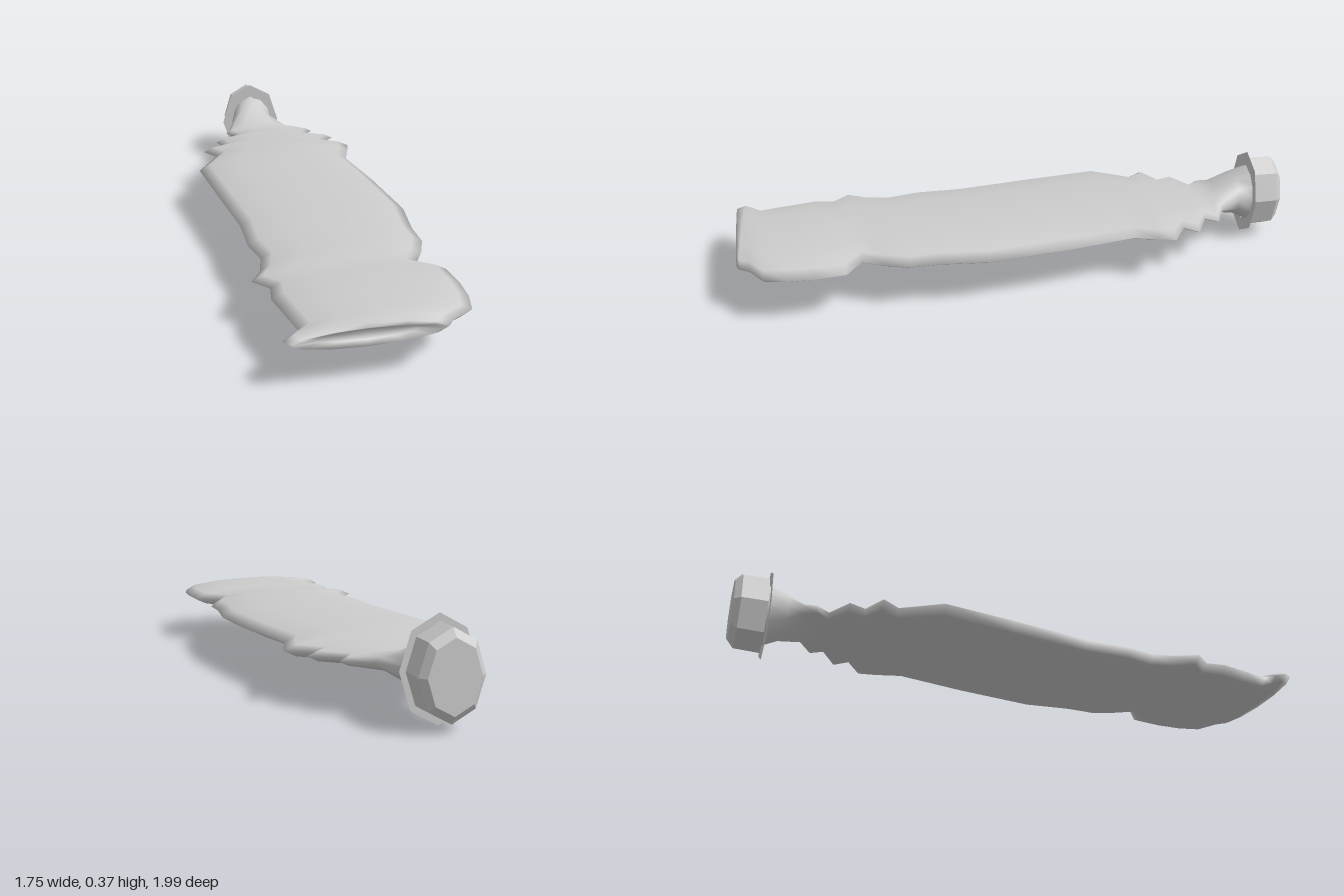
import * as THREE from 'three';

const MID = 0.19; // height of the bottle's flat middle plane

// Cross-sections from neck to base: left edge x, z, right edge x, z, half thickness
const sections = [
  [-0.79, -0.79, -0.64, -0.91, 0.125],
  [-0.75, -0.72, -0.61, -0.85, 0.09],
  [-0.735, -0.66, -0.49, -0.81, 0.04],
  [-0.725, -0.615, -0.375, -0.83, 0.03],
  [-0.66, -0.60, -0.375, -0.77, 0.03],
  [-0.71, -0.49, -0.245, -0.79, 0.036],
  [-0.65, -0.455, -0.255, -0.72, 0.036],
  [-0.70, -0.36, -0.135, -0.73, 0.042],
  [-0.62, -0.335, -0.11, -0.67, 0.044],
  [-0.60, -0.155, -0.075, -0.575, 0.05],
  [-0.39, 0.05, 0.135, -0.39, 0.052],
  [-0.16, 0.27, 0.365, -0.165, 0.052],
  [-0.045, 0.415, 0.465, -0.005, 0.05],
  [0.05, 0.49, 0.54, 0.085, 0.049],
  [0.095, 0.58, 0.57, 0.175, 0.047],
  [0.105, 0.665, 0.587, 0.27, 0.044],
  [0.19, 0.68, 0.70, 0.265, 0.046],
  [0.23, 0.75, 0.78, 0.345, 0.05],
  [0.32, 0.825, 0.84, 0.425, 0.05],
  [0.405, 0.895, 0.88, 0.51, 0.047],
  [0.395, 0.94, 0.845, 0.60, 0.044],
  [0.39, 0.98, 0.847, 0.65, 0.04],
  [0.43, 0.995, 0.835, 0.67, 0.035],
  [0.48, 0.93, 0.76, 0.705, 0.02], // inner rim of the recessed base
];

// Flattened bottle skin, lofted through the elliptical sections
function bottleGeometry(sides = 12) {
  const pos = [], index = [];
  for (const [lx, lz, rx, rz, h] of sections) {
    for (let j = 0; j < sides; j++) {
      const a = (j / sides) * Math.PI * 2, c = Math.cos(a) / 2;
      pos.push(
        (lx + rx) / 2 + (rx - lx) * c,
        MID + h * Math.sin(a),
        (lz + rz) / 2 + (rz - lz) * c
      );
    }
  }
  for (let i = 0; i < sections.length - 1; i++) {
    for (let j = 0; j < sides; j++) {
      const k = (j + 1) % sides, p = i * sides, q = p + sides;
      index.push(p + j, p + k, q + k, p + j, q + k, q + j);
    }
  }
  // close the base
  const last = (sections.length - 1) * sides, centre = pos.length / 3;
  pos.push(0.62, MID, 0.815);
  for (let j = 0; j < sides; j++) index.push(centre, last + j, last + (j + 1) % sides);

  const geo = new THREE.BufferGeometry();
  geo.setAttribute('position', new THREE.Float32BufferAttribute(pos, 3));
  geo.setIndex(index);
  geo.computeVertexNormals();
  return geo;
}

export function createModel() {
  const model = new THREE.Group();
  model.name = 'crushedBottle';

  const smooth = new THREE.MeshStandardMaterial({ color: 0xcccccc, side: THREE.DoubleSide });
  const faceted = new THREE.MeshStandardMaterial({
    color: 0xcccccc, flatShading: true, side: THREE.DoubleSide,
  });

  const body = new THREE.Mesh(bottleGeometry(), smooth);
  body.name = 'bottleBody';
  model.add(body);

  // Squashed octagonal cap: local +z points out of the bottle
  const cap = new THREE.Group();
  cap.name = 'cap';
  cap.position.set(-0.713, MID, -0.835);
  cap.rotation.y = Math.atan2(-0.615, -0.788);
  model.add(cap);

  const addDrum = (name, rBack, rFront, z, length, open) => {
    const geo = new THREE.CylinderGeometry(rFront, rBack, length, 8, 1, open);
    geo.rotateX(Math.PI / 2);
    geo.scale(0.74, 1, 1);
    const mesh = new THREE.Mesh(geo, faceted);
    mesh.name = name;
    mesh.position.z = z + length / 2;
    cap.add(mesh);
  };
  addDrum('capSide', 0.158, 0.155, 0.008, 0.097, true);
  addDrum('capTop', 0.155, 0.125, 0.105, 0.024, false);

  // Thin collar around the mouth of the cap
  const collarGeo = new THREE.RingGeometry(0.125, 0.184, 8, 1, Math.PI / 2);
  collarGeo.scale(0.74, 1, 1);
  const collar = new THREE.Mesh(collarGeo, faceted);
  collar.name = 'capCollar';
  cap.add(collar);

  return model;
}
